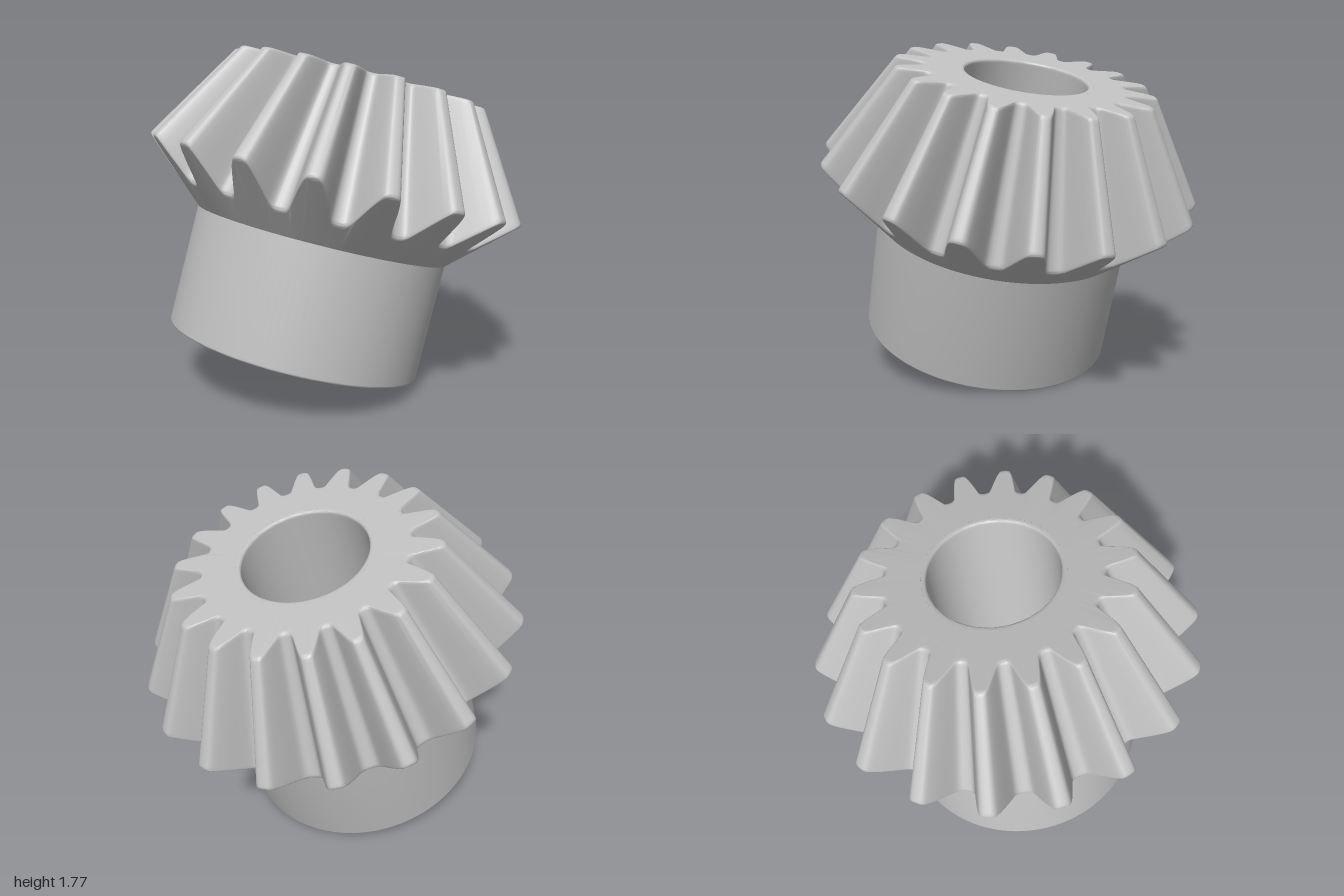
import * as THREE from 'three';
import { toCreasedNormals } from 'three/addons/utils/BufferGeometryUtils.js';

const TEETH = 18;
const PHASE = THREE.MathUtils.degToRad(4.5);
const CREASE = 0.7;

// half tooth: [fraction of the pitch from tooth centre, height from root (0) to tip (1)]
const HALF = [
  [0, 1], [0.045, 0.998], [0.08, 0.985], [0.108, 0.955], [0.13, 0.9], [0.16, 0.8], [0.2, 0.64],
  [0.24, 0.47], [0.28, 0.31], [0.315, 0.18], [0.345, 0.09], [0.38, 0.035], [0.43, 0.008], [0.5, 0],
];
const TOOTH = [
  ...HALF.slice(1).reverse().map(([u, t]) => [-u, t]),
  ...HALF.slice(0, -1),
];

// all angular columns around the gear
const COLUMNS = [];
for (let i = 0; i < TEETH; i++) {
  for (const [u, t] of TOOTH) COLUMNS.push([PHASE + (i + u) * 2 * Math.PI / TEETH, t]);
}

// rounds the corner at point b between a and c; the outer two points keep the adjoining faces flat
function roundCorner(a, b, c, size) {
  const A = new THREE.Vector2(...a), B = new THREE.Vector2(...b), C = new THREE.Vector2(...c);
  const toA = A.sub(B).normalize(), toC = C.sub(B).normalize();
  const at = (dir, d) => B.clone().addScaledVector(dir, d);
  const curve = new THREE.QuadraticBezierCurve(at(toA, size), B, at(toC, size));
  return [at(toA, size * 1.6), ...curve.getPoints(4), at(toC, size * 1.6)];
}

function namedMesh(name, geometry, material) {
  const mesh = new THREE.Mesh(toCreasedNormals(geometry, CREASE), material);
  mesh.name = name;
  return mesh;
}

// sweeps a profile that depends on the tooth height about the y axis
function sweepTeeth(profile) {
  const pos = [], index = [];
  const n = COLUMNS.length;
  let rows = 0;
  for (const [angle, t] of COLUMNS) {
    const points = profile(t);
    rows = points.length;
    for (const { x, y } of points) pos.push(x * Math.sin(angle), y, x * Math.cos(angle));
  }
  for (let j = 0; j < n; j++) {
    for (let k = 0; k < rows - 1; k++) {
      const a = j * rows + k, b = ((j + 1) % n) * rows + k;
      index.push(a, b, b + 1, a, b + 1, a + 1);
    }
  }
  const geometry = new THREE.BufferGeometry();
  geometry.setAttribute('position', new THREE.Float32BufferAttribute(pos, 3));
  geometry.setIndex(index);
  return geometry;
}

export function createModel() {
  const steel = new THREE.MeshStandardMaterial({ color: 0xc0c0c0 });
  steel.name = 'light grey steel';
  const mix = THREE.MathUtils.lerp;
  const gear = new THREE.Group();
  gear.name = 'bevelGear';

  // cylindrical hub with its flat bottom
  const hubProfile = [
    new THREE.Vector2(0.32, 0),
    ...roundCorner([0.32, 0], [0.672, 0], [0.672, 0.62], 0.012),
    new THREE.Vector2(0.672, 0.62),
  ];
  gear.add(namedMesh('hub', new THREE.LatheGeometry(hubProfile, 120), steel));

  // back cone, tapered teeth with softened ends, and the flat top face
  const crown = sweepTeeth((t) => {
    const neck = [0.672, 0.62];
    const back = [mix(0.8, 1.002, t), mix(0.74, 0.923, t)];
    const rim = [mix(0.52, 0.673, t), 1.459];
    const lip = [0.345, 1.459];
    return [
      new THREE.Vector2(...neck),
      ...roundCorner(neck, back, rim, 0.016),
      ...roundCorner(back, rim, lip, 0.016),
      new THREE.Vector2(...lip),
    ];
  });
  gear.add(namedMesh('toothedCrown', crown, steel));

  // through bore with a softened upper lip
  const boreProfile = [
    new THREE.Vector2(0.345, 1.459),
    ...roundCorner([0.345, 1.459], [0.32, 1.459], [0.32, 0], 0.015),
    new THREE.Vector2(0.32, 0),
  ];
  gear.add(namedMesh('bore', new THREE.LatheGeometry(boreProfile, 96), steel));

  // the gear leans toward +x
  gear.rotation.z = -0.283;
  gear.position.set(-0.255, 0.1875, 0);

  const model = new THREE.Group();
  model.name = 'model';
  model.add(gear);
  return model;
}
